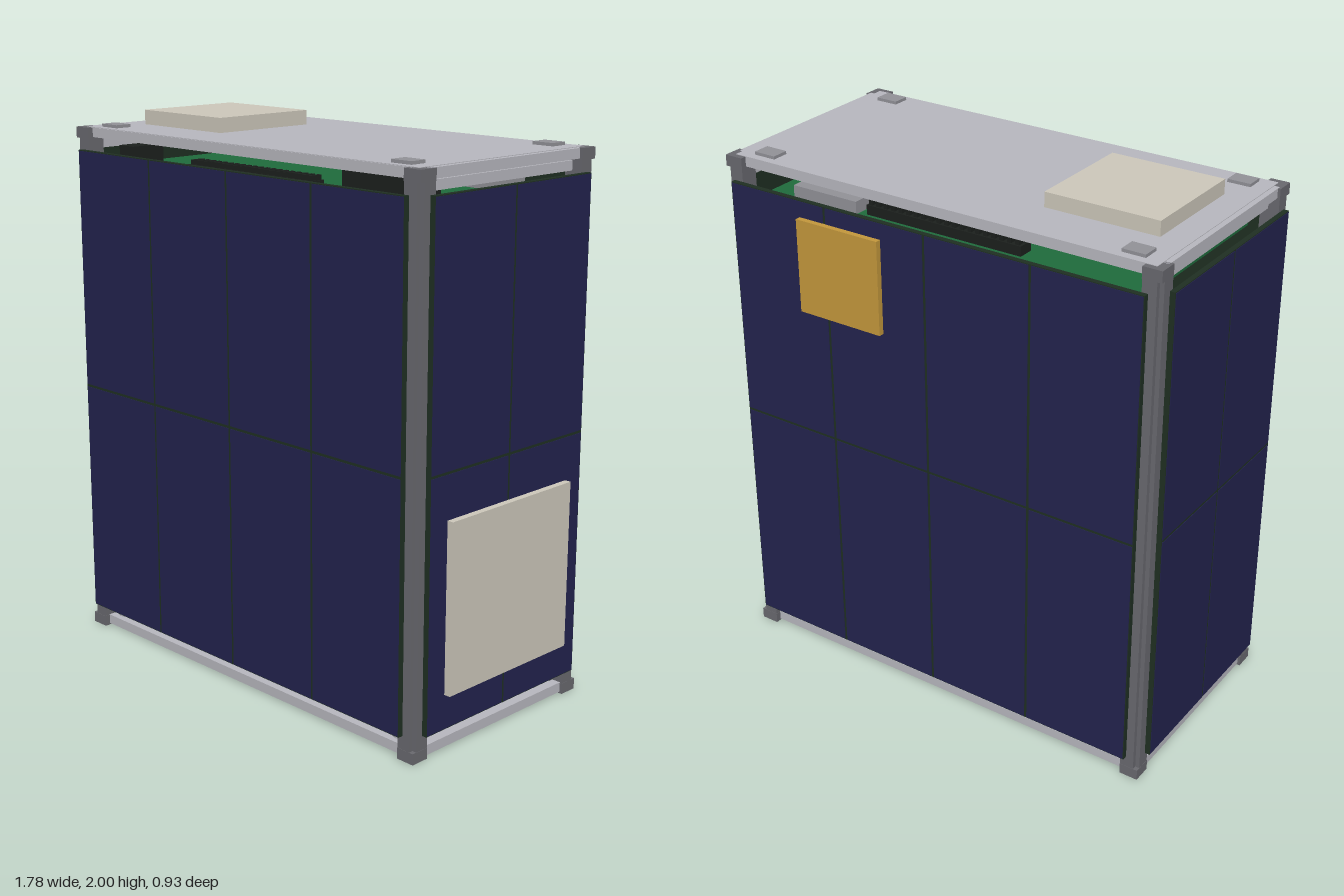
import * as THREE from 'three';

const mat = (name, color, side = THREE.FrontSide) => {
  const m = new THREE.MeshStandardMaterial({ color, side });
  m.name = name;
  return m;
};

export function createModel() {
  const root = new THREE.Group();
  root.name = 'cubeSatellite';

  const frameGrey = mat('frameGrey', 0x69696f);
  const plateGrey = mat('plateGrey', 0xb8b8bf);
  const padGrey = mat('padGrey', 0x929298);
  const cellNavy = mat('cellNavy', 0x23234e);
  const substrate = mat('substrateDarkGreen', 0x1f2f22);
  const ceramic = mat('ceramicBeige', 0xcdc8bb);
  const gold = mat('patchGold', 0xc4983c);
  const pcb = mat('boardGreen', 0x1f6b3c);
  const black = mat('connectorBlack', 0x1c201d);

  const add = (parent, name, geo, material, x = 0, y = 0, z = 0) => {
    const m = new THREE.Mesh(geo, material);
    m.name = name;
    m.position.set(x, y, z);
    parent.add(m);
    return m;
  };
  // Box given by its limits on each axis
  const box = (name, material, x0, x1, y0, y1, z0, z1, parent = root) =>
    add(parent, name, new THREE.BoxGeometry(x1 - x0, y1 - y0, z1 - z0), material,
      (x0 + x1) / 2, (y0 + y1) / 2, (z0 + z1) / 2);

  const CX = -0.013, CZ = 0.01, TOP = 1.945;

  // Corner posts: notched profile with solid end caps
  const s = 0.034, n = 0.016;
  const profile = new THREE.Shape([
    [-s, -s], [s, -s], [s, s - n], [s - n, s - n], [s - n, s], [-s, s],
  ].map(([x, y]) => new THREE.Vector2(x, y)));
  const postGeo = new THREE.ExtrudeGeometry(profile, { depth: TOP - 0.08, bevelEnabled: false });
  postGeo.rotateX(-Math.PI / 2);
  // Turn so the notch points outwards at each corner
  const corners = [[1, -1, 0], [-1, -1, 1], [-1, 1, 2], [1, 1, 3]];
  for (const [sx, sz, turn] of corners) {
    const px = CX + sx * 0.822, pz = CZ + sz * 0.391;
    const post = add(root, 'cornerPost', postGeo, frameGrey, px, 0.04, pz);
    post.rotation.y = turn * Math.PI / 2;
    for (const y of [0.02, TOP - 0.02])
      add(root, 'postCap', new THREE.BoxGeometry(0.07, 0.04, 0.07), frameGrey, px, y, pz);
  }

  // End plates
  box('topPlate', plateGrey, -0.84, 0.815, 1.925, 1.947, -0.395, 0.411);
  box('bottomPlate', plateGrey, -0.84, 0.815, 0.01, 0.032, -0.395, 0.411);
  add(root, 'centreHole', new THREE.CylinderGeometry(0.022, 0.022, 0.004, 20), frameGrey, CX, 0.009, CZ);

  // Rails at the top and bottom of every side
  for (const [y0, y1] of [[0.006, 0.042], [1.91, TOP]]) {
    for (const sz of [-1, 1]) {
      const z = CZ + sz * 0.39;
      box('crossRail', plateGrey, -0.81, 0.785, y0, y1, z - 0.015, z + 0.015);
    }
    for (const sx of [-1, 1]) {
      const x = CX + sx * 0.83;
      box('sideRail', plateGrey, x - 0.017, x + 0.017, y0, y1, -0.36, 0.38);
    }
  }
  for (const [y0, y1] of [[0.05, 0.085], [1.868, 1.902]]) {
    for (const sx of [-1, 1]) {
      const x = CX + sx * 0.805;
      box('innerSideRail', plateGrey, x - 0.012, x + 0.012, y0, y1, -0.36, 0.38);
    }
  }

  // Top pads, bottom ring feet and standoffs at the four corners
  const footGeo = new THREE.LatheGeometry([
    [0.022, 0.012], [0.022, 0.004], [0.03, 0], [0.045, 0], [0.058, 0.012],
  ].map(([r, y]) => new THREE.Vector2(r, y)), 28);
  const footMat = mat('footGrey', 0xc6c6cc, THREE.DoubleSide);
  for (const [sx, sz] of corners) {
    const x = CX + sx * 0.727, z = CZ + sz * 0.342;
    add(root, 'topPad', new THREE.BoxGeometry(0.085, 0.012, 0.064), padGrey, x, 1.952, z);
    add(root, 'ringFoot', footGeo, footMat, x, 0, z - sz * 0.02);
    add(root, 'footHole', new THREE.CylinderGeometry(0.022, 0.022, 0.004, 20), frameGrey,
      x, 0.009, z - sz * 0.02);
    add(root, 'standoff', new THREE.CylinderGeometry(0.042, 0.042, 0.11, 20), plateGrey,
      CX + sx * 0.742, 0.085, z);
  }

  // Solar panel facing +z: backing board with a grid of thin cells
  const Y0 = 0.092, Y1 = 1.865;
  const solarPanel = (name, width, cols, x, z, turn) => {
    const g = new THREE.Group();
    g.name = name;
    const h = Y1 - Y0, gap = 0.01, edge = 0.003;
    add(g, 'panelBacking', new THREE.BoxGeometry(width, h, 0.019), substrate);
    const cw = (width - 2 * edge - (cols - 1) * gap) / cols;
    const ch = (h - 2 * edge - gap) / 2;
    for (let i = 0; i < cols; i++)
      for (let j = 0; j < 2; j++)
        add(g, 'solarCell', new THREE.BoxGeometry(cw, ch, 0.003), cellNavy,
          (i - (cols - 1) / 2) * (cw + gap), (j - 0.5) * (ch + gap), 0.0098);
    g.position.set(x, (Y0 + Y1) / 2, z);
    g.rotation.y = turn;
    root.add(g);
  };
  solarPanel('frontSolarPanel', 1.63, 4, -0.014, 0.45, 0);
  solarPanel('backSolarPanel', 1.63, 4, -0.014, -0.435, Math.PI);
  solarPanel('leftSolarPanel', 0.766, 2, 0.855, 0.011, Math.PI / 2);
  solarPanel('rightSolarPanel', 0.766, 2, -0.883, 0.011, -Math.PI / 2);

  // Patch antennas
  box('topAntenna', ceramic, -0.74, -0.317, 1.947, 2.0, -0.202, 0.218);
  box('sideAntenna', ceramic, 0.865, 0.89, 0.218, 0.82, -0.29, 0.312);
  box('backAntenna', gold, 0.16, 0.5, 1.463, 1.805, -0.467, -0.445);

  // Internal stack of circuit boards
  for (const y of [0.16, 0.6, 1.0, 1.4, 1.79])
    box('circuitBoard', pcb, -0.76, 0.73, y, y + 0.02, -0.35, 0.37);
  box('tallConnector', black, 0.375, 0.625, 1.81, 1.895, 0.1, 0.3);
  box('smallConnector', black, -0.74, -0.66, 1.81, 1.88, 0.2, 0.34);
  box('boardModule', padGrey, 0.35, 0.62, 1.81, 1.855, -0.33, -0.12);
  // Pin headers
  for (const [x0, z] of [[-0.3, -0.28], [-0.35, 0.31]]) {
    box('headerBase', black, x0, x0 + 0.62, 1.81, 1.845, z - 0.03, z + 0.03);
    for (let i = 0; i < 20; i++)
      box('headerPin', black, x0 + 0.01 + i * 0.031, x0 + 0.025 + i * 0.031, 1.845, 1.862, z - 0.025, z + 0.025);
  }

  // Equipment under the lowest board
  box('payloadSlab', ceramic, -0.58, 0.0, 0.08, 0.12, -0.36, 0.36);
  box('underBlock', plateGrey, -0.345, -0.2, 0.05, 0.15, 0.1, 0.3);
  box('underBlock', plateGrey, 0.27, 0.385, 0.05, 0.16, 0.1, 0.3);
  box('underBlock', padGrey, -0.13, -0.01, 0.058, 0.15, -0.1, 0.05);

  return root;
}
